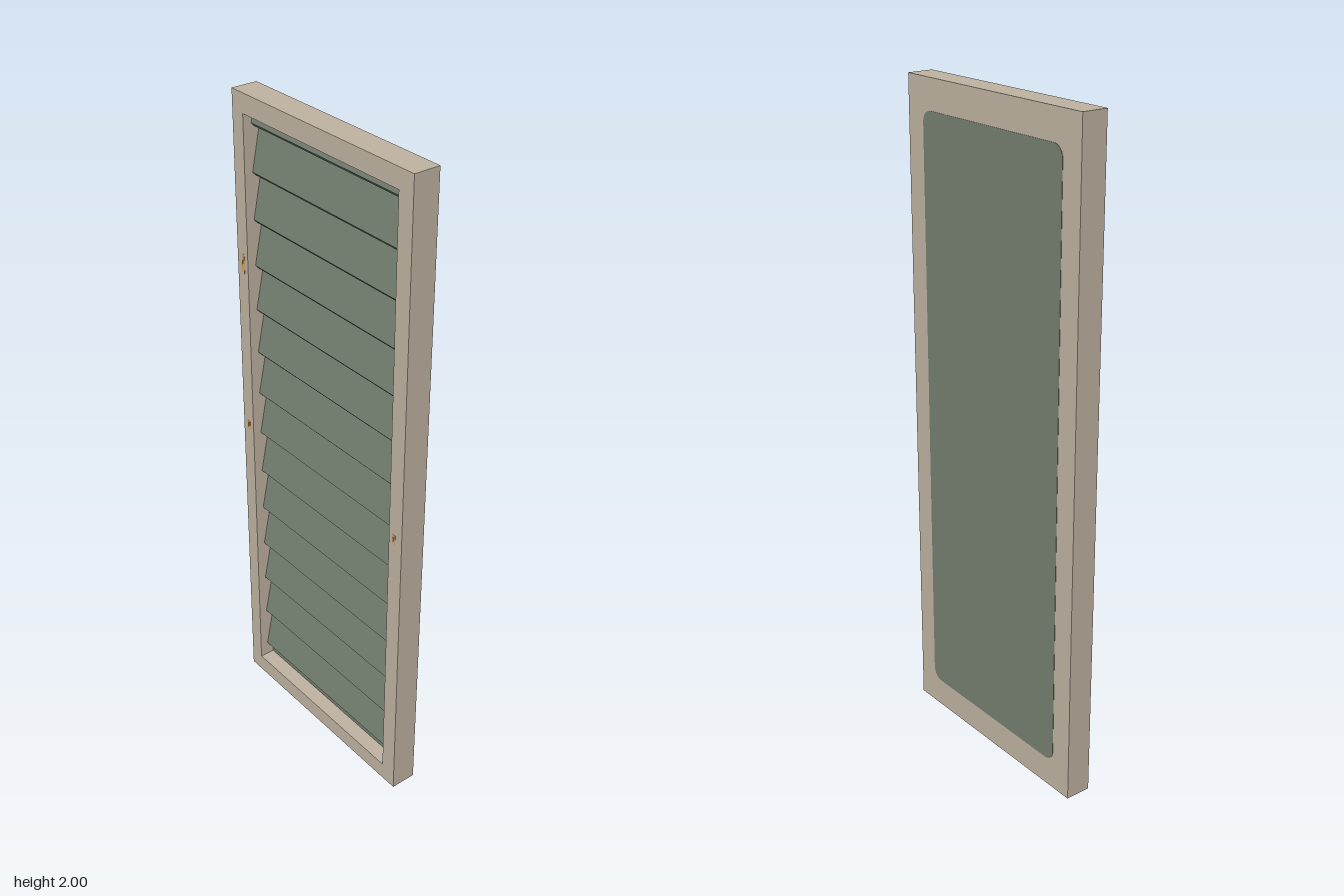
import * as THREE from 'three';

const HALF_W = 0.365, HEIGHT = 2, DEPTH = 0.08;
const OPEN = { x0: -0.318, x1: 0.312, y0: 0.055, y1: 1.943 };

function material(name, color) {
  const m = new THREE.MeshStandardMaterial({ color });
  m.name = name;
  return m;
}

function rectPath(path, x0, y0, x1, y1) {
  path.moveTo(x0, y0);
  path.lineTo(x1, y0);
  path.lineTo(x1, y1);
  path.lineTo(x0, y1);
  path.closePath();
  return path;
}

function roundedShape(x0, y0, x1, y1, r) {
  const s = new THREE.Shape();
  s.absarc(x1 - r, y1 - r, r, 0, Math.PI / 2);
  s.absarc(x0 + r, y1 - r, r, Math.PI / 2, Math.PI);
  s.absarc(x0 + r, y0 + r, r, Math.PI, Math.PI * 1.5);
  s.absarc(x1 - r, y0 + r, r, Math.PI * 1.5, Math.PI * 2);
  return s;
}

// Lapped slat: (z, y) section swept across the opening, lower lip forward
function slatGeometry(y, height) {
  const topZ = 0.014 - 0.026 * (height / 0.139);
  const s = new THREE.Shape([
    [-0.03, 0], [0.004, 0], [0.014, 0.011], [topZ, height], [-0.03, height],
  ].map(([z, h]) => new THREE.Vector2(z, h)));
  const g = new THREE.ExtrudeGeometry(s, { depth: OPEN.x1 - OPEN.x0, bevelEnabled: false });
  g.rotateY(-Math.PI / 2); // section z -> world z, sweep -> -x
  g.translate(OPEN.x1, y, 0);
  return g;
}

export function createModel() {
  const group = new THREE.Group();
  const beige = material('warm beige', 0xbfb3a2);
  const green = material('sage green', 0x758070);
  const orange = material('orange', 0xc8883c);

  const add = (name, geometry, mat, x = 0, y = 0, z = 0) => {
    const mesh = new THREE.Mesh(geometry, mat);
    mesh.name = name;
    mesh.position.set(x, y, z);
    group.add(mesh);
    return mesh;
  };

  // Surround with the rectangular opening
  const outline = rectPath(new THREE.Shape(), -HALF_W, 0, HALF_W, HEIGHT);
  outline.holes.push(rectPath(new THREE.Path(), OPEN.x0, OPEN.y0, OPEN.x1, OPEN.y1));
  add('frame', new THREE.ExtrudeGeometry(outline, { depth: DEPTH, bevelEnabled: false }),
    beige, 0, 0, -DEPTH / 2);

  // Board closing the rear of the opening
  const w = OPEN.x1 - OPEN.x0, h = OPEN.y1 - OPEN.y0;
  add('backBoard', new THREE.BoxGeometry(w, h, 0.01), beige,
    (OPEN.x0 + OPEN.x1) / 2, (OPEN.y0 + OPEN.y1) / 2, -0.035);

  // Thin rounded panel on the rear
  add('backPanel', new THREE.ExtrudeGeometry(roundedShape(-0.295, 0.09, 0.297, 1.91, 0.035),
    { depth: 0.001, bevelEnabled: false, curveSegments: 6 }), green, 0, 0, -0.041);

  // Slats, the top one cut short by the frame
  const pitch = 0.1393, firstY = 0.09;
  for (let i = 0; i < 14; i++) {
    const y = firstY + i * pitch;
    add('slat', slatGeometry(y, Math.min(pitch, OPEN.y1 - y)), green);
  }
  // Remnant under the lowest slat
  add('bottomSlat', new THREE.BoxGeometry(w, firstY - OPEN.y0, 0.022), green,
    (OPEN.x0 + OPEN.x1) / 2, (OPEN.y0 + firstY) / 2, -0.019);

  // Tiny pins showing on the stiles
  for (const [x, y, size] of [[-0.34, 0.965, 0.025], [0.333, 0.93, 0.03], [-0.34, 1.5, 0.06]]) {
    for (const dx of [-0.004, 0.004]) {
      add('stilePin', new THREE.BoxGeometry(0.003, size, 0.001), orange, x + dx, y, DEPTH / 2);
    }
  }
  return group;
}
